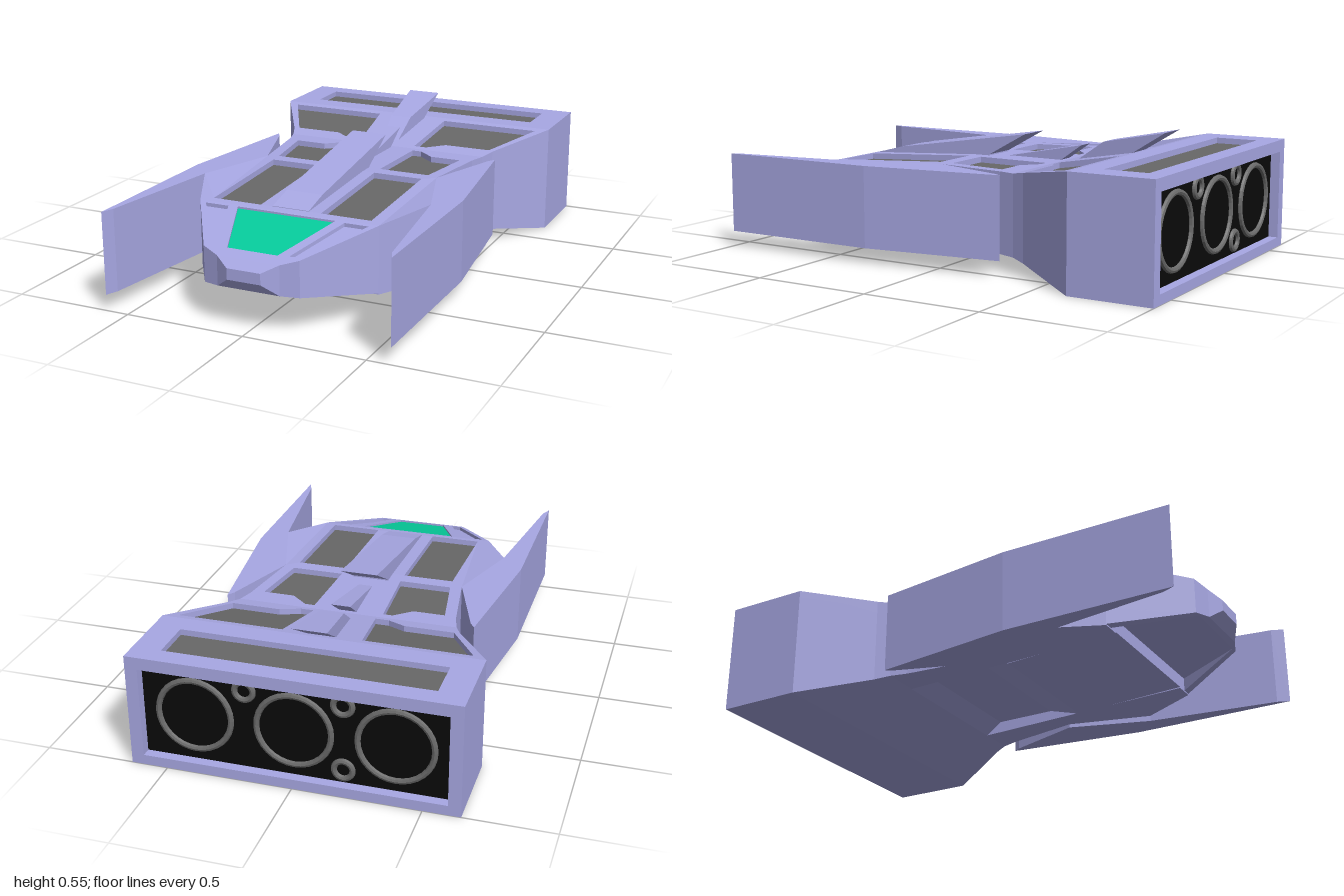
import * as THREE from 'three';

const mat = color => new THREE.MeshStandardMaterial({ color, flatShading: true });
const HULL = mat(0xa8a8e4), GREY = mat(0x686868), GLASS = mat(0x06cc9c);
const BLACK = mat(0x0a0a0a), METAL = mat(0x6a6a6a);
const THICK = 0.05;

function add(group, name, geometry, material = HULL) {
  const mesh = new THREE.Mesh(geometry, material);
  mesh.name = name;
  group.add(mesh);
  return mesh;
}

// Rectangular cross-sections [z, halfWidth, bottom, top], from front to back
function loft(sections) {
  const pos = [], idx = [];
  for (const [z, w, y0, y1] of sections) pos.push(-w, y0, z, w, y0, z, w, y1, z, -w, y1, z);
  const quad = (a, b, c, d) => idx.push(a, b, c, a, c, d);
  const last = (sections.length - 1) * 4;
  quad(0, 1, 2, 3);
  quad(last + 3, last + 2, last + 1, last);
  for (let s = 0; s < last; s += 4) {
    for (let i = 0; i < 4; i++) {
      const j = (i + 1) % 4;
      quad(s + i, s + 4 + i, s + 4 + j, s + j);
    }
  }
  const g = new THREE.BufferGeometry();
  g.setAttribute('position', new THREE.Float32BufferAttribute(pos, 3));
  g.setIndex(idx);
  const flat = g.toNonIndexed();
  flat.computeVertexNormals();
  return flat;
}

// Points are [x, z]; the plate is seen from above
const planShape = pts => new THREE.Shape(pts.map(([x, z]) => new THREE.Vector2(x, -z)));
const mirror = pts => pts.map(([x, z]) => [-x, z]).reverse();
// Half outline runs from rear to front; the full outline is counter-clockwise
const symmetric = half => [...half, ...mirror(half)].reverse();
// Height along z through two [z, y] points
const line = ([z0, y0], [z1, y1]) => z => y0 + (y1 - y0) * (z - z0) / (z1 - z0);

// Plate extruded upward from y = base, then sheared to follow a slope
function plate(pts, holes, depth, base, slope = () => 0) {
  const shape = planShape(pts);
  shape.holes = holes.map(planShape);
  const g = new THREE.ExtrudeGeometry(shape, { depth, bevelEnabled: false });
  g.rotateX(-Math.PI / 2);
  const p = g.attributes.position;
  for (let i = 0; i < p.count; i++) p.setY(i, p.getY(i) + base + slope(p.getZ(i)));
  g.computeVertexNormals();
  return g;
}

// Side profile [z, y] extruded across x, with half width depending on z
function fin(profile, halfWidth) {
  const shape = new THREE.Shape(profile.map(p => new THREE.Vector2(...p)));
  const g = new THREE.ExtrudeGeometry(shape, { depth: 2, bevelEnabled: false });
  g.translate(0, 0, -1).rotateY(-Math.PI / 2);
  const p = g.attributes.position;
  for (let i = 0; i < p.count; i++) p.setX(i, p.getX(i) * halfWidth(p.getZ(i)));
  g.computeVertexNormals();
  return g;
}

// Sloping deck with recessed panels
function deck(group, name, half, slope, panels) {
  const holes = panels.map(p => p.pts);
  add(group, name, plate(symmetric(half), holes, THICK, -THICK, slope));
  for (const { pts, material, label, drop } of panels) {
    add(group, label, plate(pts, [], THICK - drop, -THICK, slope), material);
  }
}
const pair = (pts, label, material = GREY, drop = 0.024) =>
  [pts, mirror(pts)].map(q => ({ pts: q, label, material, drop }));

export function createModel() {
  const ship = new THREE.Group();
  ship.name = 'spaceship';

  // Main hull with a raised underside, and blunt nose
  add(ship, 'hull', loft([
    [0.92, 0.2, 0.155, 0.27], [0.63, 0.385, 0.155, 0.34], [0.4, 0.5, 0.13, 0.353],
    [0.06, 0.39, 0.12, 0.37], [-0.24, 0.435, 0.12, 0.37], [-0.31, 0.455, 0.07, 0.37],
    [-0.37, 0.48, 0.058, 0.3806], [-0.65, 0.645, 0, 0.43], [-0.95, 0.645, 0, 0.43],
  ]));
  add(ship, 'nose', loft([[0.98, 0.07, 0.205, 0.25], [0.945, 0.13, 0.16, 0.28], [0.92, 0.2, 0.155, 0.3]]));

  // Deck sections with windows and sunken panels
  const cockpit = symmetric([[0.21, 0.64], [0.105, 0.91]]);
  deck(ship, 'noseDeck', [[0.385, 0.63], [0.2, 0.92]], line([0.63, 0.37], [0.92, 0.3]), [
    { pts: cockpit, label: 'cockpitWindow', material: GLASS, drop: 0.008 },
    ...pair([[0.25, 0.645], [0.35, 0.645], [0.19, 0.9], [0.15, 0.905]], 'nosePanel', HULL, 0.015),
  ]);
  const frontSlope = line([0.4, 0.4], [0.63, 0.37]);
  deck(ship, 'frontDeck', [[0.39, 0.06], [0.5, 0.4], [0.385, 0.63]], z => Math.min(0.4, frontSlope(z)),
    pair([[0.13, 0.1], [0.34, 0.1], [0.34, 0.6], [0.13, 0.6]], 'frontDeckPanel'));
  deck(ship, 'middleDeck', [[0.455, -0.31], [0.435, -0.24], [0.39, 0.06]], () => 0.4,
    pair([[0.13, 0.04], [0.345, 0.04], [0.385, -0.22], [0.255, -0.22], [0.185, -0.28], [0.145, -0.28]],
      'middleDeckPanel'));
  deck(ship, 'rearDeck', [[0.645, -0.65], [0.48, -0.37], [0.455, -0.31]], line([-0.65, 0.46], [-0.31, 0.4]),
    pair([[0.16, -0.62], [0.59, -0.62], [0.46, -0.38], [0.26, -0.38], [0.185, -0.335], [0.13, -0.335]],
      'rearDeckPanel'));
  deck(ship, 'engineDeck', [[0.645, -1], [0.645, -0.65]], () => 0.46, [
    { pts: symmetric([[0.53, -0.92], [0.53, -0.74]]), label: 'engineDeckPanel', material: GREY, drop: 0.024 },
  ]);

  // Blade-like side wings, and skirts along the lower hull edges
  const wing = [[0.39, 0.06], [0.5, -0.26], [0.52, -0.29], [0.595, 0.3], [0.595, 1], [0.575, 0.95], [0.5, 0.4]];
  const noseSkirt = [[0.2, 0.92], [0.17, 0.92], [0.345, 0.63], [0.385, 0.63]];
  const hullSkirt = [[0.385, 0.63], [0.3, 0.63], [0.3, -0.31], [0.455, -0.31], [0.435, -0.24], [0.39, 0.06], [0.5, 0.4]];
  for (const [side, place] of [['left', pts => pts], ['right', mirror]]) {
    add(ship, side + 'Wing', plate(place(wing), [], 0.335, 0.065));
    add(ship, side + 'NoseSkirt', plate(place(noseSkirt), [], 0.07, 0, line([0.92, 0.155], [0.63, 0.1])));
    add(ship, side + 'HullSkirt', plate(place(hullSkirt), [], 0.08, 0, line([0.63, 0.095], [-0.31, 0.07])));
  }

  // Swept spine fins
  add(ship, 'frontFin', fin([[0.6, 0.36], [0.6, 0.376], [0.48, 0.407], [-0.14, 0.5], [0.03, 0.405], [0.03, 0.36]],
    () => 0.078));
  add(ship, 'middleFin', fin([[-0.03, 0.38], [-0.04, 0.4], [-0.385, 0.467], [-0.29, 0.4], [-0.29, 0.38]],
    z => 0.028 - 0.03 * z));
  add(ship, 'rearFin', fin([[-0.35, 0.395], [-0.49, 0.49], [-0.77, 0.545], [-0.6, 0.44], [-0.6, 0.41]],
    z => 0.035 - 0.085 * (z + 0.35)));

  // Belly plate stepping down behind the nose and sloping up at its rear
  add(ship, 'bellyPlate', loft([
    [0.63, 0.3, 0.1, 0.2], [0.15, 0.3, 0.08, 0.2], [0, 0.3, 0.125, 0.2],
  ]));

  // Engine bay frame and back plate
  const corners = pts => pts.map(p => new THREE.Vector2(...p));
  const rim = new THREE.Shape(corners([[-0.645, 0], [0.645, 0], [0.645, 0.43], [-0.645, 0.43]]));
  rim.holes.push(new THREE.Path(corners([[-0.595, 0.04], [-0.595, 0.42], [0.595, 0.42], [0.595, 0.04]])));
  const frame = new THREE.ExtrudeGeometry(rim, { depth: 0.05, bevelEnabled: false });
  add(ship, 'engineFrame', frame).position.z = -1;
  add(ship, 'enginePlate', new THREE.BoxGeometry(1.19, 0.38, 0.01), BLACK).position.set(0, 0.23, -0.955);

  // Thruster rings: [x, y, radius]
  const rings = [
    [0.39, 0.23, 0.145], [0, 0.23, 0.145], [-0.39, 0.23, 0.145],
    [0.19, 0.365, 0.036], [-0.19, 0.365, 0.036], [-0.19, 0.095, 0.036],
  ];
  for (const [x, y, r] of rings) {
    add(ship, 'thrusterRing', new THREE.TorusGeometry(r, 0.012, 8, 32), METAL).position.set(x, y, -0.962);
  }
  return ship;
}
